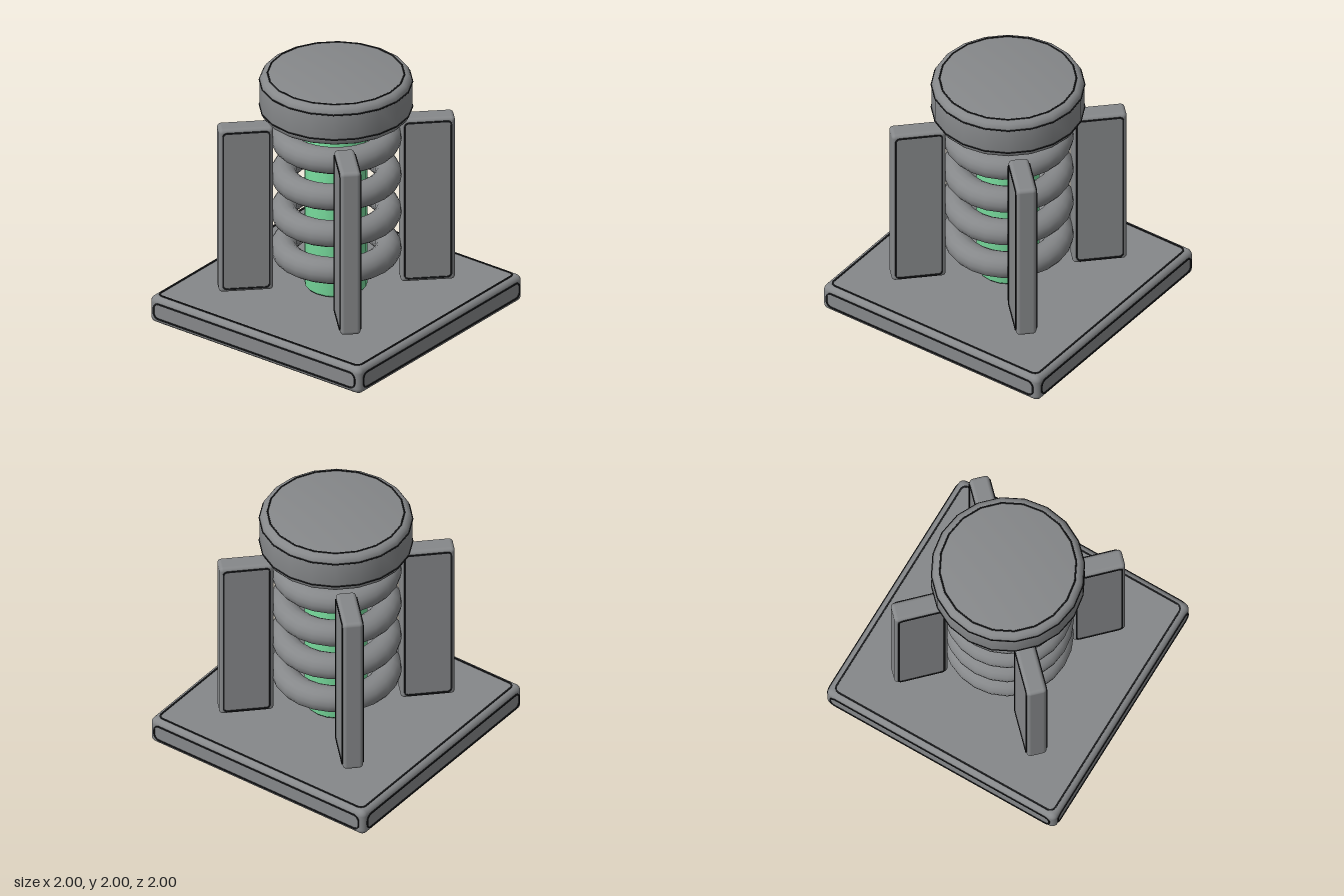
import * as THREE from 'three';
import { mergeGeometries, toCreasedNormals } from 'three/addons/utils/BufferGeometryUtils.js';
import { RoundedBoxGeometry } from 'three/addons/geometries/RoundedBoxGeometry.js';

const SIDES = 20;
const LINE = 0.006; // half width and height of the dark edge lines

// Closed cylinder with rounded rims
function roundedCylinder(radius, y0, y1, bevel) {
  const half = [[0, 0]], arc = 4;
  for (let i = 0; i <= arc; i++) {
    const a = (i / arc) * Math.PI / 2;
    half.push([radius - bevel + bevel * Math.sin(a), bevel - bevel * Math.cos(a)]);
  }
  const pts = half.map(([r, h]) => new THREE.Vector2(r, y0 + h));
  half.reverse().forEach(([r, h]) => pts.push(new THREE.Vector2(r, y1 - h)));
  return toCreasedNormals(new THREE.LatheGeometry(pts, SIDES), 0.6);
}

// Dark rings where the rounded rims of such a cylinder begin and end
function rimLines(radius, y0, y1, bevel) {
  const ring = (r, y) => new THREE.TorusGeometry(r, LINE, 8, SIDES).rotateX(Math.PI / 2).translate(0, y, 0);
  return mergeGeometries([
    ring(radius - bevel, y0), ring(radius, y0 + bevel),
    ring(radius, y1 - bevel), ring(radius - bevel, y1),
  ]);
}

// Rounded rectangle outline, w by h
function roundedRect(path, w, h, r) {
  const x = w / 2 - r, y = h / 2 - r, q = Math.PI / 2;
  path.absarc(x, y, r, 0, q);
  path.absarc(-x, y, r, q, 2 * q);
  path.absarc(-x, -y, r, 2 * q, 3 * q);
  path.absarc(x, -y, r, 3 * q, 4 * q);
  path.closePath();
  return path;
}

// Thin frame half sunk into the plane z = 0
function frame(w, h, r) {
  const shape = roundedRect(new THREE.Shape(), w + 2 * LINE, h + 2 * LINE, r + LINE);
  shape.holes.push(roundedRect(new THREE.Path(), w - 2 * LINE, h - 2 * LINE, r - LINE));
  const geometry = new THREE.ExtrudeGeometry(shape, { depth: 2 * LINE, bevelEnabled: false, curveSegments: 5 });
  return geometry.translate(0, 0, -LINE);
}

// Dark frames around the flat faces of a rounded box, on both sides of each listed axis
function faceLines(sx, sy, sz, radius, axes) {
  const parts = [], inset = 2 * radius, corner = radius * 0.95;
  for (const turn of [0, Math.PI]) {
    if (axes.includes('z')) {
      parts.push(frame(sx - inset, sy - inset, corner).translate(0, 0, sz / 2).rotateY(turn));
    }
    if (axes.includes('x')) {
      parts.push(frame(sz - inset, sy - inset, corner).translate(0, 0, sx / 2).rotateY(Math.PI / 2 + turn));
    }
    if (axes.includes('y')) {
      parts.push(frame(sx - inset, sz - inset, corner).translate(0, 0, sy / 2).rotateX(Math.PI / 2 + turn));
    }
  }
  return mergeGeometries(parts);
}

export function createModel() {
  const model = new THREE.Group();
  model.name = 'coilPillar';

  const material = (name, color) => {
    const m = new THREE.MeshStandardMaterial({ color });
    m.name = name;
    return m;
  };
  const steel = material('steelGrey', 0x86888a);
  const green = material('coreGreen', 0x77da9c);
  const dark = material('edgeBlack', 0x1c1d1f);

  const add = (name, geometry, mat, y = 0) => {
    const mesh = new THREE.Mesh(geometry, mat);
    mesh.name = name;
    mesh.position.y = y;
    model.add(mesh);
    return mesh;
  };

  // Square base plate
  const base = [2 - 2 * LINE, 0.23 - 2 * LINE, 2 - 2 * LINE];
  add('basePlate', new RoundedBoxGeometry(...base, 3, 0.047), steel, 0.115);
  add('basePlateLines', faceLines(...base, 0.047, 'xyz'), dark, 0.115);

  // Green core and its cap
  const core = [0.236, 0.236, 1.75, 0.018];
  add('core', roundedCylinder(...core), green);
  const cap = [0.571, 1.667, 2 - LINE, 0.06];
  add('cap', roundedCylinder(...cap), steel);
  add('capLines', rimLines(...cap), dark);

  // Dark line around the foot of the core
  const foot = add('coreFootLine', new THREE.TorusGeometry(0.218, LINE, 8, SIDES), dark, 0.236);
  foot.rotation.x = Math.PI / 2;

  // Stacked coil rings
  for (let i = 0; i < 4; i++) {
    const ring = add('coilRing' + (i + 1), new THREE.TorusGeometry(0.39, 0.101, 16, 24), steel, 0.542 + i * 0.307);
    ring.rotation.x = Math.PI / 2;
  }

  // Four upright fins on the diagonals, lined on their broad faces
  const inner = 0.478, outer = 0.887;
  const fin = [outer - inner, 1.36, 0.153];
  const finGeometry = new RoundedBoxGeometry(...fin, 3, 0.03).translate((inner + outer) / 2, 0, 0);
  const finLines = faceLines(...fin, 0.03, 'z').translate((inner + outer) / 2, 0, 0);
  for (let i = 0; i < 4; i++) {
    const angle = Math.PI / 4 + (i * Math.PI) / 2;
    add('fin' + (i + 1), finGeometry, steel, 0.928).rotation.y = angle;
    add('finLines' + (i + 1), finLines, dark, 0.928).rotation.y = angle;
  }

  return model;
}
